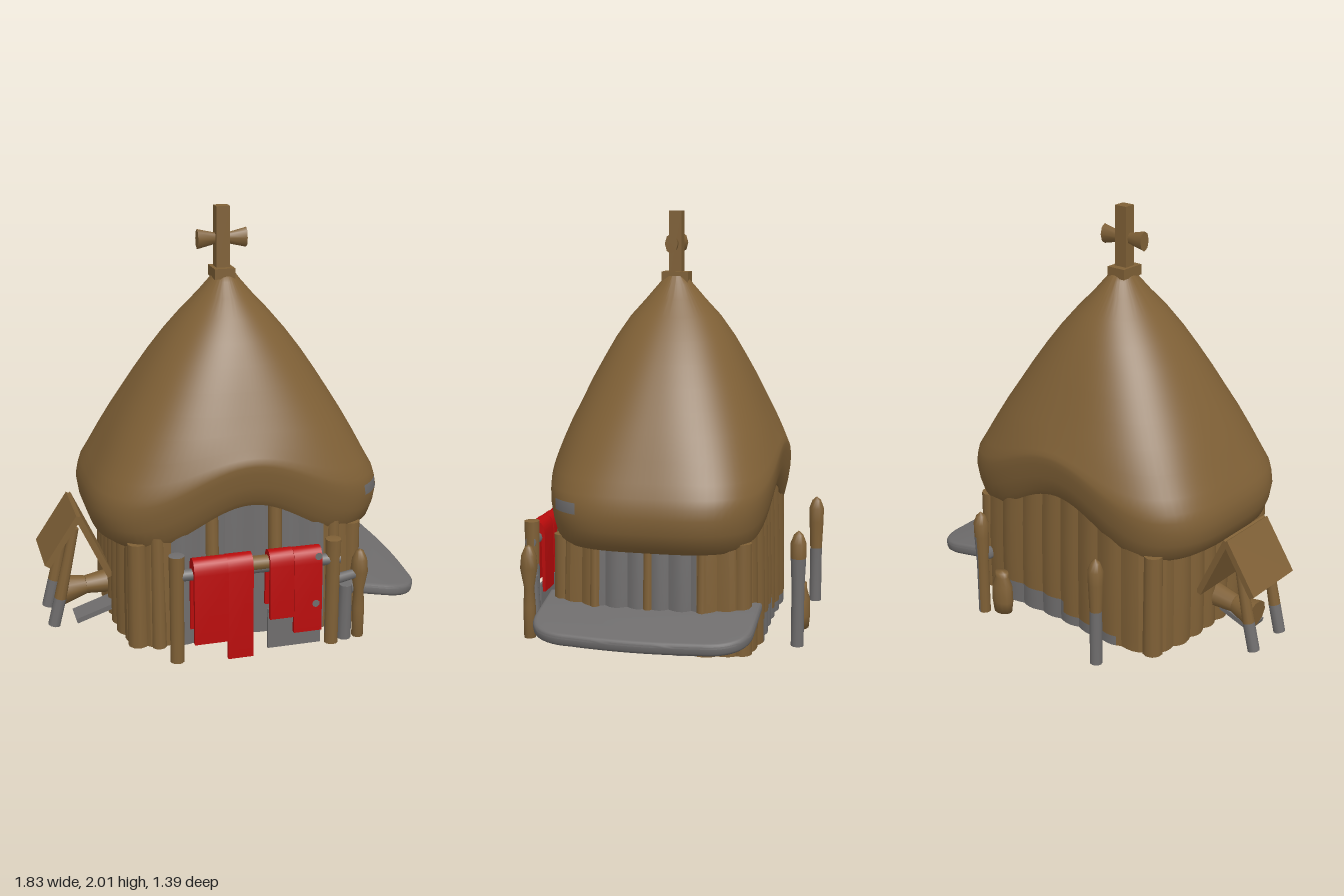
import * as THREE from 'three';
import { toCreasedNormals } from 'three/addons/utils/BufferGeometryUtils.js';

export function createModel() {
  const model = new THREE.Group();
  const make = (name, color) => {
    const m = new THREE.MeshStandardMaterial({ color });
    m.name = name;
    return m;
  };
  const brown = make('thatch and wood brown', 0x7f6036);
  const grey = make('stone grey', 0x6f6d6d);
  const red = make('cloth red', 0xb80b0b);

  const add = (name, geometry, material) => {
    const mesh = new THREE.Mesh(geometry, material);
    mesh.name = name;
    model.add(mesh);
    return mesh;
  };

  // Rounded pole between two points
  const pole = (name, p, q, r0, r1, mat, sides = 10) => {
    const a = new THREE.Vector3(...p), b = new THREE.Vector3(...q);
    const d = b.clone().sub(a);
    const g = new THREE.CylinderGeometry(r1, r0, d.length(), sides);
    const mesh = add(name, g, mat);
    mesh.position.copy(a).add(b).multiplyScalar(0.5);
    mesh.quaternion.setFromUnitVectors(new THREE.Vector3(0, 1, 0), d.normalize());
    return mesh;
  };

  const turned = (name, profile, x, z, mat, sides = 12) => {
    const g = new THREE.LatheGeometry(profile.map(([r, y]) => new THREE.Vector2(r, y)), sides);
    const mesh = add(name, g, mat);
    mesh.position.set(x, 0, z);
    return mesh;
  };

  // Skin through stacked rings; isGrey picks the second material per cell
  const loft = (rows, cols, point, isGrey, crease) => {
    const pos = [], cells = [[], []];
    for (let j = 0; j < rows; j++)
      for (let i = 0; i < cols; i++) pos.push(...point(j, (i / cols) * Math.PI * 2));
    for (let j = 0; j < rows - 1; j++)
      for (let i = 0; i < cols; i++) {
        const a = j * cols + i, b = j * cols + ((i + 1) % cols);
        const mid = [0, 1, 2].map(k => (pos[a * 3 + k] + pos[(b + cols) * 3 + k]) / 2);
        cells[isGrey(...mid) ? 1 : 0].push(a, a + cols, b, b, a + cols, b + cols);
      }
    const g = new THREE.BufferGeometry();
    g.setAttribute('position', new THREE.Float32BufferAttribute(pos, 3));
    g.setIndex([...cells[0], ...cells[1]]);
    g.addGroup(0, cells[0].length, 0);
    g.addGroup(cells[0].length, cells[1].length, 1);
    return toCreasedNormals(g, crease);
  };
  const rounded = (t, n) =>
    Math.pow(Math.abs(Math.cos(t)) ** n + Math.abs(Math.sin(t)) ** n, -1 / n);

  // Upright post with weathered grey areas
  const post = (name, x, z, profile, isGrey) => add(name, loft(profile.length, 12, (j, t) => {
    const [r, y] = profile[j];
    return [x + r * Math.cos(t), y, z + r * Math.sin(t)];
  }, isGrey, 0.8), [brown, grey]);

  // Thatched roof: y, half width, half depth, squareness, lift of the front and back arches
  const roofRings = [
    [0.62, 0, 0, 3.4, 1], [0.58, 0.5, 0.4, 3.4, 1], [0.5, 0.6, 0.46, 3.4, 1],
    [0.48, 0.645, 0.49, 3.4, 1], [0.51, 0.685, 0.51, 3.4, 1], [0.58, 0.71, 0.525, 3.4, 1],
    [0.65, 0.72, 0.535, 3.4, 1], [0.7, 0.71, 0.537, 3.4, 0.92], [0.74, 0.697, 0.535, 3.4, 0.8],
    [0.8, 0.665, 0.525, 3.2, 0.6], [0.9, 0.615, 0.505, 2.9, 0.3], [1.0, 0.56, 0.475, 2.7, 0.12],
    [1.1, 0.5, 0.437, 2.5, 0], [1.2, 0.437, 0.392, 2.4, 0], [1.3, 0.37, 0.34, 2.3, 0],
    [1.4, 0.295, 0.285, 2.2, 0], [1.5, 0.21, 0.217, 2.1, 0], [1.58, 0.135, 0.145, 2, 0],
    [1.65, 0.075, 0.085, 2, 0], [1.69, 0.045, 0.05, 2, 0], [1.69, 0, 0, 2, 0],
  ];
  const roof = loft(roofRings.length, 112, (j, t) => {
    const [y, rx, rz, n, lift] = roofRings[j];
    const r = rounded(t, n);
    const x0 = 0.72 * Math.cos(t) * rounded(t, 3.4);
    const arch = Math.abs(x0) < 0.6 ? 0.2 * Math.cos((Math.PI * x0) / 1.2) ** 2 : 0;
    return [0.012 + rx * Math.cos(t) * r, y + arch * lift, rz * Math.sin(t) * r];
  }, (x, y, z) => x > 0.4 && z > 0.33 && z < 0.425 && y > 0.65 && y < 0.7, 0.9);
  add('thatchedRoof', roof, [brown, grey]);

  // Plank walls with a flat floor, set back in the middle of the front
  const wallRings = [[0, 0], [0, 1], [0.05, 1], [0.11, 1], [0.25, 1], [0.45, 0.99], [0.76, 0.97]];
  const walls = loft(wallRings.length, 160, (j, t) => {
    const [y, k] = wallRings[j];
    const r = k * rounded(t, 5) * (0.975 + 0.03 * Math.abs(Math.sin(t * 16)));
    const x = 0.61 * Math.cos(t) * r, z = 0.5 * Math.sin(t) * r;
    const bay = Math.abs(x) < 0.45 ? Math.cos((Math.PI * x) / 0.9) ** 2 : 0;
    return [0.015 + x, y, z * (1 - bay * (z > 0 ? 0.1 : 0.03))];
  }, (x, y, z) => y < 0.01 || (z > 0.3 && Math.abs(x) < 0.37) ||
    (x > 0.4 && Math.abs(z) < 0.22) ||
    (z < -0.3 && Math.abs(x) < 0.36 && y < (x > 0 ? 0.11 : 0.05)), 0.35);
  add('plankWalls', walls, [brown, grey]);

  // Timber uprights on the walls
  for (const [x, z] of [[0.53, 0.42], [-0.52, 0.42], [0.53, -0.42], [-0.52, -0.42]])
    pole('cornerUpright', [x, 0, z], [x, 0.52, z], 0.05, 0.045, brown);
  for (const x of [-0.43, 0.43])
    pole('doorUpright', [x, 0, 0.47], [x, 0.55, 0.45], 0.035, 0.033, brown);
  for (const x of [-0.17, 0.14])
    pole('frontUpright', [x, 0.42, 0.46], [x, 0.72, 0.44], 0.033, 0.033, brown);
  for (const z of [0, 0.25, -0.25])
    pole('sideUpright', [0.61, 0.16, z], [0.6, 0.52, z], 0.025, 0.022, brown);

  // Roof finial
  add('finialBase', new THREE.BoxGeometry(0.1, 0.05, 0.13), brown).position.set(0, 1.685, 0);
  add('finialPost', new THREE.BoxGeometry(0.066, 0.32, 0.06), brown).position.set(0, 1.84, 0);
  for (const s of [-1, 1])
    pole('finialArm', [s * 0.02, 1.845, 0], [s * 0.12, 1.845, 0], 0.024, 0.048, brown, 8)
      .scale.z = 0.65;

  // Sloping rounded slab on the right side
  const w = 0.41, h = 0.485, c = 0.2;
  const plan = new THREE.Shape();
  plan.moveTo(0, -h);
  plan.lineTo(w - c, -h);
  plan.quadraticCurveTo(w - 0.02, -h, w - 0.02, -h + c);
  plan.quadraticCurveTo(w + 0.01, 0, w - 0.02, h - c);
  plan.quadraticCurveTo(w - 0.02, h, w - c, h);
  plan.lineTo(0, h);
  const slabGeo = new THREE.ExtrudeGeometry(plan, {
    depth: 0.022, bevelThickness: 0.018, bevelSize: 0.02, bevelSegments: 3, curveSegments: 12,
  });
  slabGeo.rotateX(Math.PI / 2);
  const slab = add('sideSlab', toCreasedNormals(slabGeo, 0.8), grey);
  slab.position.set(0.497, 0.215, 0);
  slab.rotation.z = -0.2;

  // Little pitched shelter on the left side
  const board = (name, x0, y0, x1, y1, z0, z1, thick, mat) => {
    const g = new THREE.BoxGeometry(Math.hypot(x1 - x0, y1 - y0), thick, z1 - z0);
    const mesh = add(name, g, mat);
    mesh.position.set((x0 + x1) / 2, (y0 + y1) / 2, (z0 + z1) / 2);
    mesh.rotation.z = Math.atan2(y1 - y0, x1 - x0);
  };
  board('shelterOuterBoard', -0.905, 0.325, -0.745, 0.565, -0.175, 0.155, 0.03, brown);
  board('shelterInnerBoard', -0.75, 0.565, -0.6, 0.24, -0.175, 0.155, 0.03, brown);
  board('shelterStep', -0.77, 0.012, -0.58, 0.075, 0.02, 0.14, 0.025, grey);
  for (const z of [-0.1, 0.12]) {
    pole('shelterLegUpper', [-0.845, 0.14, z], [-0.765, 0.5, z], 0.03, 0.022, brown);
    pole('shelterLegLower', [-0.88, 0, z], [-0.845, 0.14, z], 0.03, 0.03, grey);
  }
  pole('shelterLog', [-0.82, 0.125, 0], [-0.7, 0.14, 0], 0.075, 0.045, brown);
  pole('shelterLogEnd', [-0.7, 0.14, 0], [-0.58, 0.15, 0], 0.045, 0.06, brown);

  // Front drying rack
  const rackProfile = [[0, 0], [0.033, 0], [0.034, 0.32], [0.037, 0.53], [0, 0.535]];
  post('rackPostRight', -0.38, 0.63, rackProfile, (x, y, z) => y > 0.531 || (y < 0.32 && z < 0.63));
  post('rackPostLeft', 0.37, 0.63, rackProfile, (x, y, z) => y < 0.32 && z < 0.63);
  pole('rackRail', [-0.4, 0.43, 0.63], [0.4, 0.43, 0.63], 0.028, 0.028, grey);
  pole('rackRailSleeve', [-0.04, 0.45, 0.63], [0.06, 0.45, 0.63], 0.035, 0.035, brown);
  pole('rackSideRail', [0.37, 0.32, 0.63], [0.52, 0.33, 0.6], 0.025, 0.022, grey);
  pole('rackSidePost', [0.445, 0, 0.6], [0.445, 0.28, 0.61], 0.035, 0.03, grey);
  turned('paddle', [[0, 0], [0.028, 0], [0.03, 0.15], [0.024, 0.24], [0.042, 0.34],
    [0.036, 0.4], [0.018, 0.44], [0, 0.45]], 0.515, 0.6, brown);
  board('rackFootBoard', 0.06, 0.1, 0.32, 0.1, 0.605, 0.62, 0.2, grey);

  // Red cloths folded over the rail, hanging to different lengths
  const cloth = (x0, x1, front, back, z) => {
    const s = new THREE.Shape();
    s.moveTo(0.055, front);
    s.lineTo(0.05, 0.44);
    s.quadraticCurveTo(0.045, 0.51, 0, 0.51);
    s.quadraticCurveTo(-0.045, 0.51, -0.045, 0.44);
    s.lineTo(-0.045, back);
    s.lineTo(-0.03, back);
    s.lineTo(-0.028, 0.44);
    s.quadraticCurveTo(0, 0.475, 0.03, 0.44);
    s.lineTo(0.035, front);
    const g = new THREE.ExtrudeGeometry(s, { depth: x1 - x0, bevelEnabled: false, curveSegments: 6 });
    g.rotateY(-Math.PI / 2);
    const mesh = add('hangingCloth', toCreasedNormals(g, 0.6), red);
    mesh.position.set(x1, 0, z);
  };
  cloth(-0.31, -0.15, 0.1, 0.14, 0.635);
  cloth(-0.15, -0.03, 0.005, 0.1, 0.63);
  cloth(0.05, 0.165, 0.18, 0.22, 0.63);
  cloth(0.165, 0.3, 0.1, 0.16, 0.635);

  // Worn grey spots on the left cloth
  for (const [x, y, z] of [[0.27, 0.24, 0.692], [0.28, 0.475, 0.688]])
    add('clothSpot', new THREE.CircleGeometry(0.018, 12), grey).position.set(x, y, z);

  // Back posts with pointed tops
  const backProfile = [[0, 0], [0.03, 0], [0.03, 0.28], [0.036, 0.42], [0.037, 0.49],
    [0.022, 0.53], [0, 0.55]];
  post('backPostRight', -0.37, -0.655, backProfile, (x, y) => y < 0.28);
  post('backPostLeft', 0.365, -0.655, backProfile, (x, y) => x > 0.365 && y < 0.42);

  // Jug beside the back post
  const jug = turned('backJug', [[0, 0.05], [0.05, 0.05], [0.058, 0.11], [0.056, 0.19],
    [0.036, 0.24], [0.036, 0.265], [0, 0.27]], 0.235, -0.655, brown);
  jug.scale.z = 0.75;

  return model;
}
